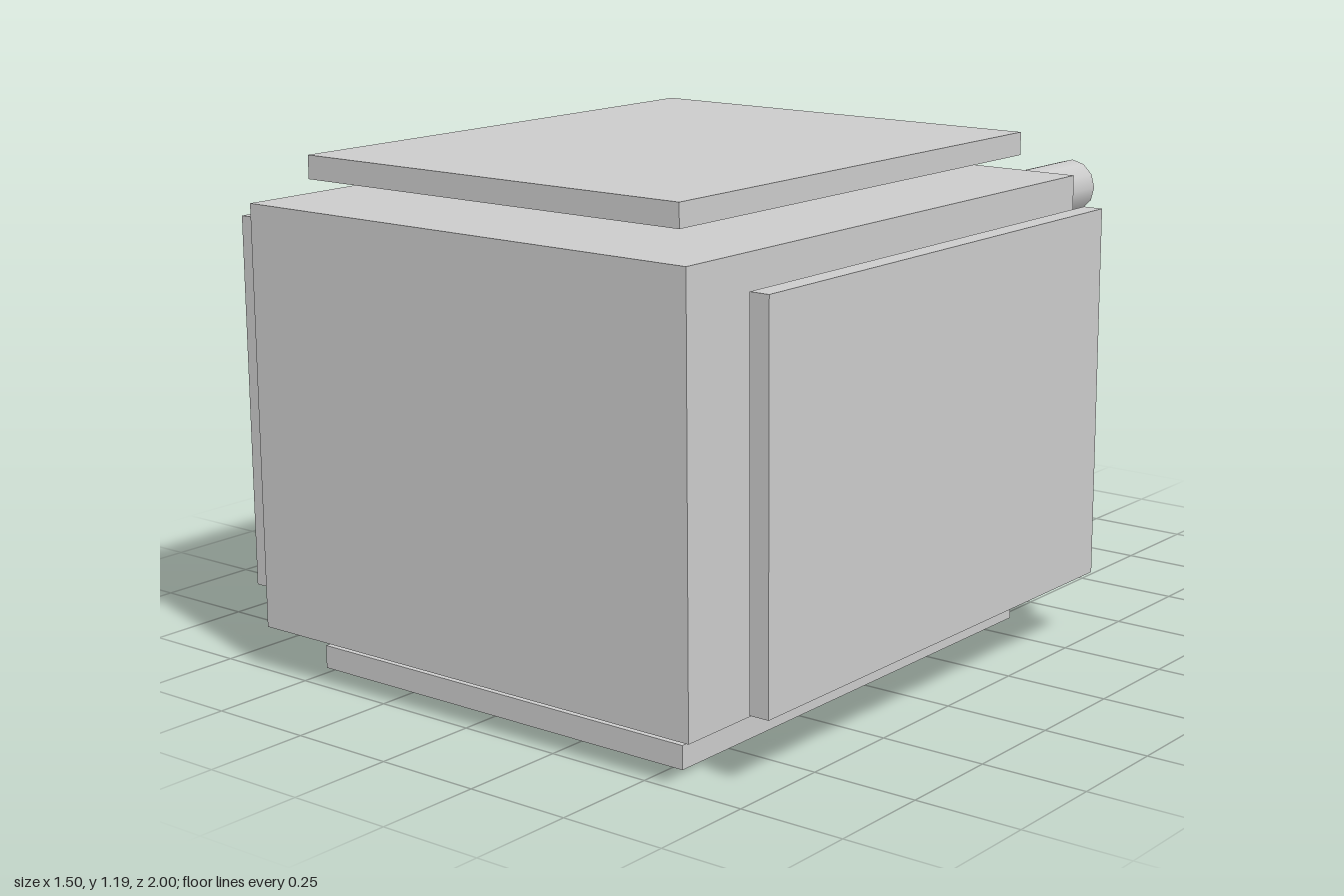
import * as THREE from 'three';

export function createModel() {
  const model = new THREE.Group();
  const material = new THREE.MeshStandardMaterial({ color: 0xcccccc });

  function add(name, geometry, x, y, z) {
    const mesh = new THREE.Mesh(geometry, material);
    mesh.name = name;
    mesh.position.set(x, y, z);
    model.add(mesh);
    return mesh;
  }

  const midY = 0.595;   // height of the body centre
  const midZ = 0.2725;  // depth of the body centre

  // Main block
  add('body', new THREE.BoxGeometry(1.234, 0.98, 1.455), 0, midY, midZ);

  // Floating panels, one facing each of the four long sides
  const flatPanel = new THREE.BoxGeometry(1.052, 0.054, 1.27);
  const sidePanel = new THREE.BoxGeometry(0.048, 0.873, 1.27);
  add('topPanel', flatPanel, 0, 1.163, midZ);
  add('bottomPanel', flatPanel, 0, 0.027, midZ);
  add('leftPanel', sidePanel, 0.725, midY, midZ);
  add('rightPanel', sidePanel, -0.725, midY, midZ);

  // Pair of rods out of the back, near the top
  const rod = new THREE.CylinderGeometry(0.067, 0.067, 0.545, 12).rotateX(Math.PI / 2);
  for (const [name, side] of [['leftRod', 1], ['rightRod', -1]]) {
    add(name, rod, side * 0.29, 0.962, -0.7275);
  }

  return model;
}
